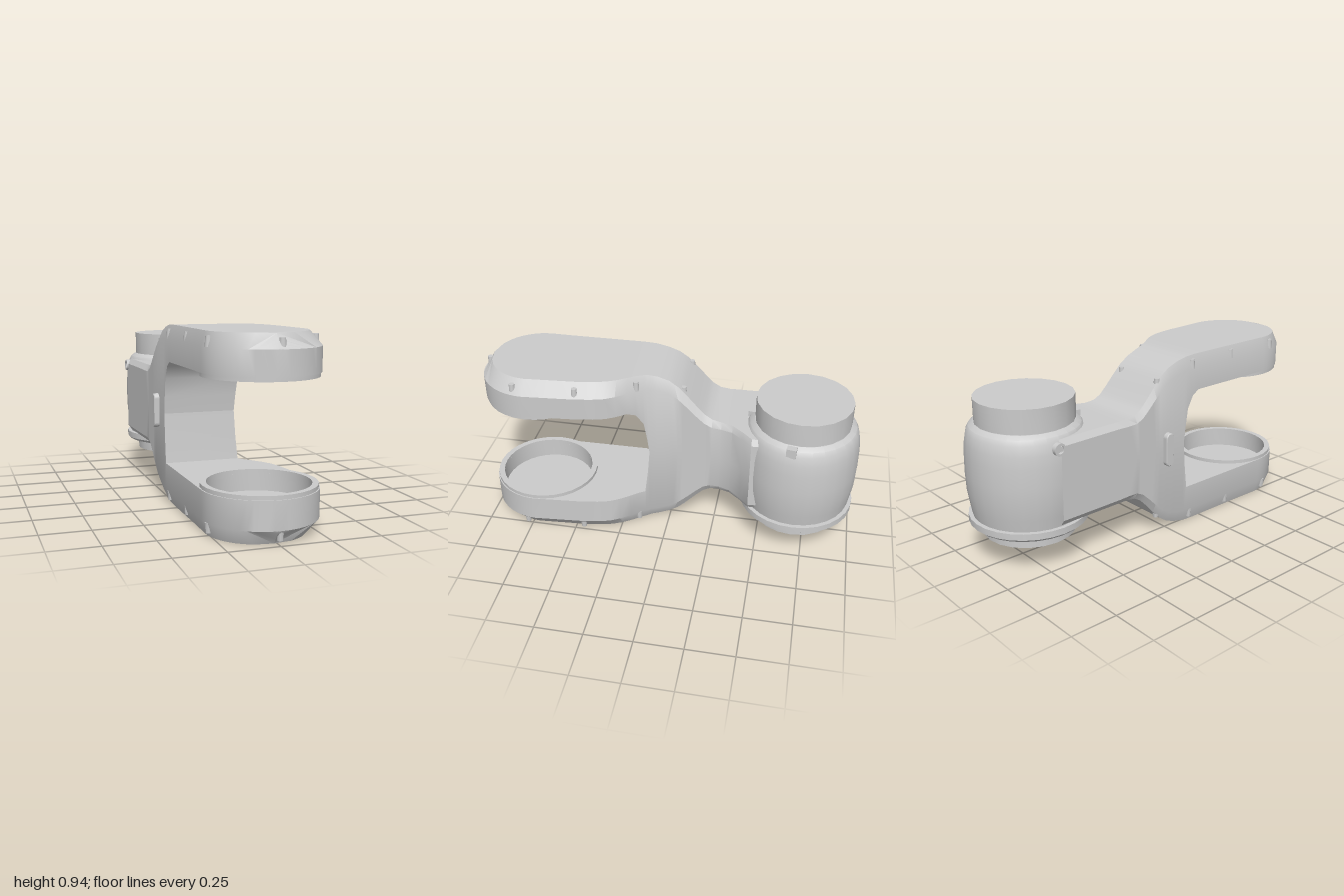
import * as THREE from 'three';
import { toCreasedNormals } from 'three/addons/utils/BufferGeometryUtils.js';

const MID = 0.47; // height of the mirror plane between the two prongs
const END = 0.715, R = 0.285; // centre and radius of the rounded prong end
const mat = new THREE.MeshStandardMaterial({ color: 0xcccccc, roughness: 0.7 });

// linear lookup in [[z, value], ...] with z falling
function lookup(table, z) {
  if (z >= table[0][0]) return table[0][1];
  for (let i = 1; i < table.length; i++) {
    const [z0, v0] = table[i - 1], [z1, v1] = table[i];
    if (z >= z1) return v0 + (v1 - v0) * (z0 - z) / (z0 - z1);
  }
  return table[table.length - 1][1];
}

const LEFT = [[0.715, -0.28], [0, -0.287], [-0.7, -0.3]];
const RIGHT = [[0.715, 0.29], [0.45, 0.267], [0.36, 0.252], [0.3, 0.235], [0.25, 0.207], [0.2, 0.17], [0.15, 0.128],
  [0.1, 0.1], [0.05, 0.087], [0, 0.08], [-0.2, 0.08], [-0.28, 0.088], [-0.34, 0.108], [-0.4, 0.16], [-0.45, 0.21], [-0.7, 0.2]];
const TOP = [[0.2, 0.94], [0.13, 0.937], [0.06, 0.922], [0, 0.9], [-0.05, 0.866], [-0.1, 0.815], [-0.15, 0.76],
  [-0.19, 0.72], [-0.23, 0.697], [-0.28, 0.69], [-0.7, 0.69]];
const BEVEL = [[0.715, 0.06], [0.3, 0.055], [0.15, 0.04], [0, 0.03], [-0.3, 0.02]];
const BEVEL_Y = [[0.15, 0.07], [-0.1, 0.05], [-0.3, 0.03]];
const arc = (z, c, r) => Math.sqrt(Math.max(0, r * r - (z - c) ** 2));
const leftX = z => z > END ? 0.005 - arc(z, END, R) : lookup(LEFT, z);
const rightX = z => z > END ? 0.005 + arc(z, END, R) : lookup(RIGHT, z);

// all section positions, from the rounded tip back into the barrel
const stations = [];
for (let i = 0; i < 14; i++) stations.push(END + R * Math.cos(i / 14 * Math.PI / 2));
stations.push(END, 0.6, 0.45, 0.36, 0.3, 0.25, 0.2, 0.16, 0.125, 0.11, 0.1, 0.06, 0.03, 0, -0.025, -0.05, -0.075, -0.1,
  -0.125, -0.15, -0.17, -0.19, -0.21, -0.23, -0.28, -0.34, -0.4, -0.45, -0.55, -0.7);

function section(z, inner) {
  const xl = leftX(z), xr = rightX(z), yi = lookup(inner, z);
  let yt = lookup(TOP, z), a = xl + 0.022, b = xr - lookup(BEVEL, z);
  const ys = yt - lookup(BEVEL_Y, z);
  if (z > 0.71) {
    const h = arc(z, 0.71, 0.245);
    a = Math.max(xl, -0.015 - h);
    b = Math.min(xr, -0.015 + h);
    if (z > 0.955) yt -= 0.07 * (z - 0.955) / 0.045;
  }
  return [[xl, yi, z], [xl, ys, z], [a, yt, z], [b, yt, z], [xr, ys, z], [xr, yi, z]];
}

// upper half of the arm shell; the flat inner face is made separately
function shellGeometry(inner) {
  const rows = stations.map(z => section(z, inner)), pos = [];
  for (let i = 0; i + 1 < rows.length; i++) {
    for (let j = 0; j < 6; j++) {
      if (j === 5 && (stations[i] > 0.2001 || stations[i] < 0.1001)) continue;
      const k = (j + 1) % 6;
      const a = rows[i][j], b = rows[i][k], c = rows[i + 1][k], d = rows[i + 1][j];
      pos.push(...a, ...b, ...c, ...a, ...c, ...d);
    }
  }
  const g = new THREE.BufferGeometry();
  g.setAttribute('position', new THREE.Float32BufferAttribute(pos, 3));
  return toCreasedNormals(g, 0.55);
}

// flat inner face of a prong with the round socket opening
function innerFaceGeometry(y) {
  const zs = stations.filter(z => z >= 0.2);
  const pts = zs.map(z => new THREE.Vector2(rightX(z), z));
  zs.slice(1).reverse().forEach(z => pts.push(new THREE.Vector2(leftX(z), z)));
  const shape = new THREE.Shape(pts);
  const hole = new THREE.Path();
  hole.absarc(0.005, END, 0.25, 0, Math.PI * 2, true);
  shape.holes.push(hole);
  return new THREE.ShapeGeometry(shape, 24).rotateX(Math.PI / 2).translate(0, y, 0);
}

function lathe(points, segments) {
  return toCreasedNormals(new THREE.LatheGeometry(points.map(p => new THREE.Vector2(...p)), segments), 0.5);
}

// mirror across the middle plane, reversing the corner order
function mirrored(geometry) {
  const g = geometry.index ? geometry.toNonIndexed() : geometry;
  const p = g.attributes.position, pos = [];
  for (let i = 0; i < p.count; i += 3)
    for (const k of [i, i + 2, i + 1]) pos.push(p.getX(k), 2 * MID - p.getY(k), p.getZ(k));
  const out = new THREE.BufferGeometry();
  out.setAttribute('position', new THREE.Float32BufferAttribute(pos, 3));
  return toCreasedNormals(out, 0.55);
}

function add(parent, name, geometry, x = 0, y = 0, z = 0) {
  const m = new THREE.Mesh(geometry, mat);
  m.name = name;
  m.position.set(x, y, z);
  parent.add(m);
  return m;
}

export function createModel() {
  const model = new THREE.Group();
  model.name = 'forkedArmLink';

  // two prongs, each running back into half of the neck
  const prongs = [
    { name: 'upper', face: 0.75, rim: 0.73, flip: g => g,
      inner: [[0.2, 0.75], [0.16, 0.725], [0.125, 0.66], [0.11, 0.56], [0.1, MID]] },
    { name: 'lower', face: 0.73, rim: 0.71, flip: mirrored,
      inner: [[0.2, 0.73], [0.125, 0.73], [0.11, 0.6], [0.1, MID]] },
  ];
  const screws = [[0.005, 0.975], [0.257, 0.77], [-0.262, 0.77], [0.243, 0.45], [-0.265, 0.45],
    [0.118, 0.16], [-0.27, 0.16], [0.02, -0.07], [-0.255, -0.07]];
  for (const { name, face, rim, flip, inner } of prongs) {
    const prong = new THREE.Group();
    prong.name = name + 'Prong';
    model.add(prong);
    add(prong, name + 'Shell', flip(shellGeometry(inner)));
    add(prong, name + 'InnerFace', flip(innerFaceGeometry(face)));
    // recessed bearing socket with a raised rim
    const socket = lathe([[0, 0.82], [0.25, 0.82], [0.25, rim], [0.28, rim], [0.28, face + 0.005]].reverse()
      .map(([r, y]) => [r, 2 * MID - y]), 32).translate(0.005, 0, END);
    add(prong, name + 'Socket', name === 'upper' ? mirrored(socket) : socket);
    // cover screws along the bevel
    for (const [x, z] of screws) {
      const y = lookup(TOP, z) - (z < 0 ? 0.015 : 0.045);
      add(prong, 'coverScrew', flip(new THREE.CylinderGeometry(0.014, 0.018, 0.05, 10).translate(x, y, z)));
    }
  }
  // clip and boss behind the upper socket
  add(model, 'socketClip', new THREE.BoxGeometry(0.12, 0.03, 0.09), 0.005, 0.735, 0.44);
  add(model, 'socketBoss', new THREE.CylinderGeometry(0.025, 0.025, 0.03, 12), -0.1, 0.738, 0.36);

  // joint barrel with end caps
  const barrel = new THREE.Group();
  barrel.name = 'jointBarrel';
  barrel.position.set(0.005, 0, -0.695);
  model.add(barrel);
  add(barrel, 'barrelBody', lathe([[0, 0.24], [0.28, 0.24], [0.29, 0.3], [0.302, 0.38], [0.305, 0.47], [0.303, 0.57],
    [0.298, 0.63], [0.288, 0.68], [0.275, 0.705], [0.25, 0.722], [0, 0.722]], 28));
  add(barrel, 'bottomFlange', lathe([[0, 0.195], [0.285, 0.195], [0.302, 0.21], [0.302, 0.243], [0, 0.243]], 28));
  add(barrel, 'topCap', lathe([[0, 0.7], [0.248, 0.7], [0.248, 0.845], [0, 0.845]], 20));
  add(barrel, 'bottomCap', lathe([[0, 0.135], [0.235, 0.135], [0.235, 0.21], [0, 0.21]], 20));
  // lugs on the barrel shoulder
  for (const angle of [0.15, 1.75]) {
    const lug = add(barrel, 'shoulderLug', new THREE.BoxGeometry(0.04, 0.05, 0.05),
      0.268 * Math.cos(angle), 0.695, 0.268 * Math.sin(angle));
    lug.rotation.y = -angle;
  }

  // round port on the side of the barrel
  const port = lathe([[0.032, 0], [0.032, 0.03], [0.02, 0.03], [0.02, 0.015], [0, 0.015]], 16).rotateZ(Math.PI / 2);
  add(model, 'sidePort', port, -0.278, 0.65, -0.71);

  // pill-shaped button on the side of the neck
  const pill = new THREE.Shape();
  pill.absarc(0, 0.065, 0.022, 0, Math.PI, false);
  pill.absarc(0, -0.065, 0.022, Math.PI, Math.PI * 2, false);
  const pillGeometry = new THREE.ExtrudeGeometry(pill, { depth: 0.03, bevelEnabled: true, bevelSize: 0.004,
    bevelThickness: 0.004, bevelSegments: 1, curveSegments: 8 }).rotateY(-Math.PI / 2);
  add(model, 'sideButton', pillGeometry, -0.281, 0.472, -0.022);

  return model;
}
